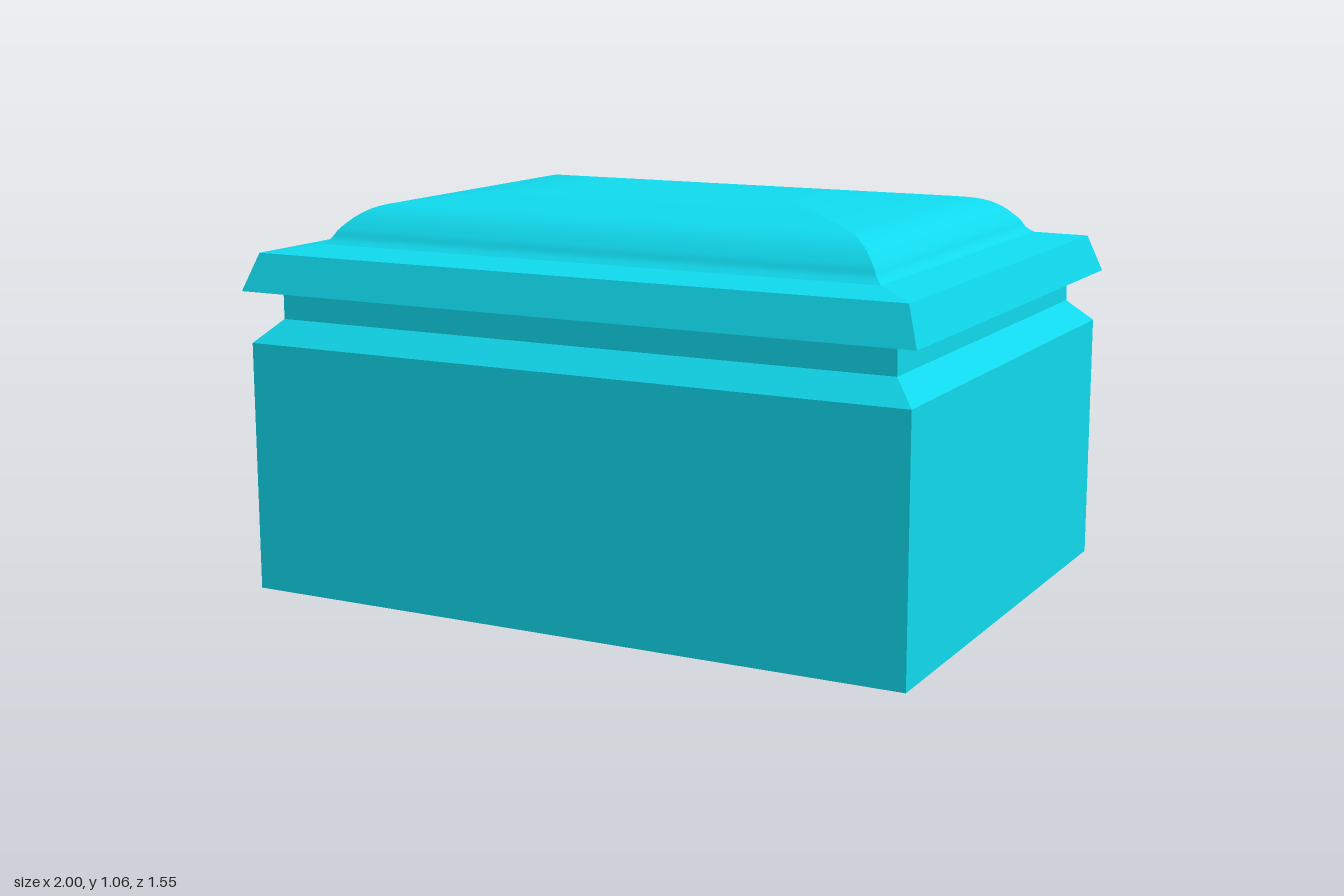
import * as THREE from 'three';

// Half-depth is always this much less than half-width, so every mitre runs at 45 degrees.
const DEPTH_DIFF = 0.243;
const CORNERS = [[1, 1], [1, -1], [-1, -1], [-1, 1]];

// Sweep a profile of [halfWidth, y] points round a mitred rectangle.
function sweep(name, profile, material, smooth = false) {
  const pos = [], index = [];
  for (let side = 0; side < 4; side++) {
    const ends = [CORNERS[side], CORNERS[(side + 1) % 4]];
    const base = pos.length / 3;
    profile.forEach(([w, y], k) => {
      for (const [sx, sz] of ends) pos.push(sx * w, y, sz * (w - DEPTH_DIFF));
      if (k > 0) {
        const a = base + 2 * (k - 1);
        index.push(a, a + 1, a + 3, a, a + 3, a + 2);
      }
    });
  }
  let geo = new THREE.BufferGeometry();
  geo.setAttribute('position', new THREE.Float32BufferAttribute(pos, 3));
  geo.setIndex(index);
  if (!smooth) geo = geo.toNonIndexed();
  geo.computeVertexNormals();
  const mesh = new THREE.Mesh(geo, material);
  mesh.name = name;
  return mesh;
}

export function createModel() {
  const group = new THREE.Group();
  group.name = 'liddedBox';
  const mat = new THREE.MeshStandardMaterial({ color: 0x10d8ec });

  // Hollow body: open foot, outer wall, chamfered shoulder, neck, then stepped inside
  group.add(sweep('body', [
    [0.836, 0], [0.936, 0], [0.936, 0.675], [0.875, 0.735], [0.875, 0.815],
    [0.776, 0.815], [0.776, 0.665], [0.836, 0.665], [0.836, 0],
  ], mat));

  // Lid rim: recessed ceiling, underside, sloping edge and shallow top slope
  group.add(sweep('lidRim', [
    [DEPTH_DIFF, 0.865], [0.756, 0.865], [0.756, 0.815], [0.952, 0.815],
    [0.917, 0.915], [0.8, 0.932],
  ], mat));

  // Domed top with a rounded ogee profile
  const curve = new THREE.SplineCurve([
    [0.8, 0.932], [0.782, 0.947], [0.765, 0.973], [0.725, 1.01], [0.675, 1.032],
    [0.574, 1.046], [0.46, 1.058], [0.363, 1.064],
  ].map(([w, y]) => new THREE.Vector2(w, y)));
  group.add(sweep('lidDome', curve.getPoints(28).map(p => [p.x, p.y]), mat, true));

  // Flat panel in the middle of the dome
  group.add(sweep('topPanel', [[0.363, 1.064], [DEPTH_DIFF, 1.064]], mat));

  // The whole box stands turned slightly
  group.rotation.y = THREE.MathUtils.degToRad(4);
  const model = new THREE.Group();
  model.name = 'model';
  model.add(group);
  return model;
}
